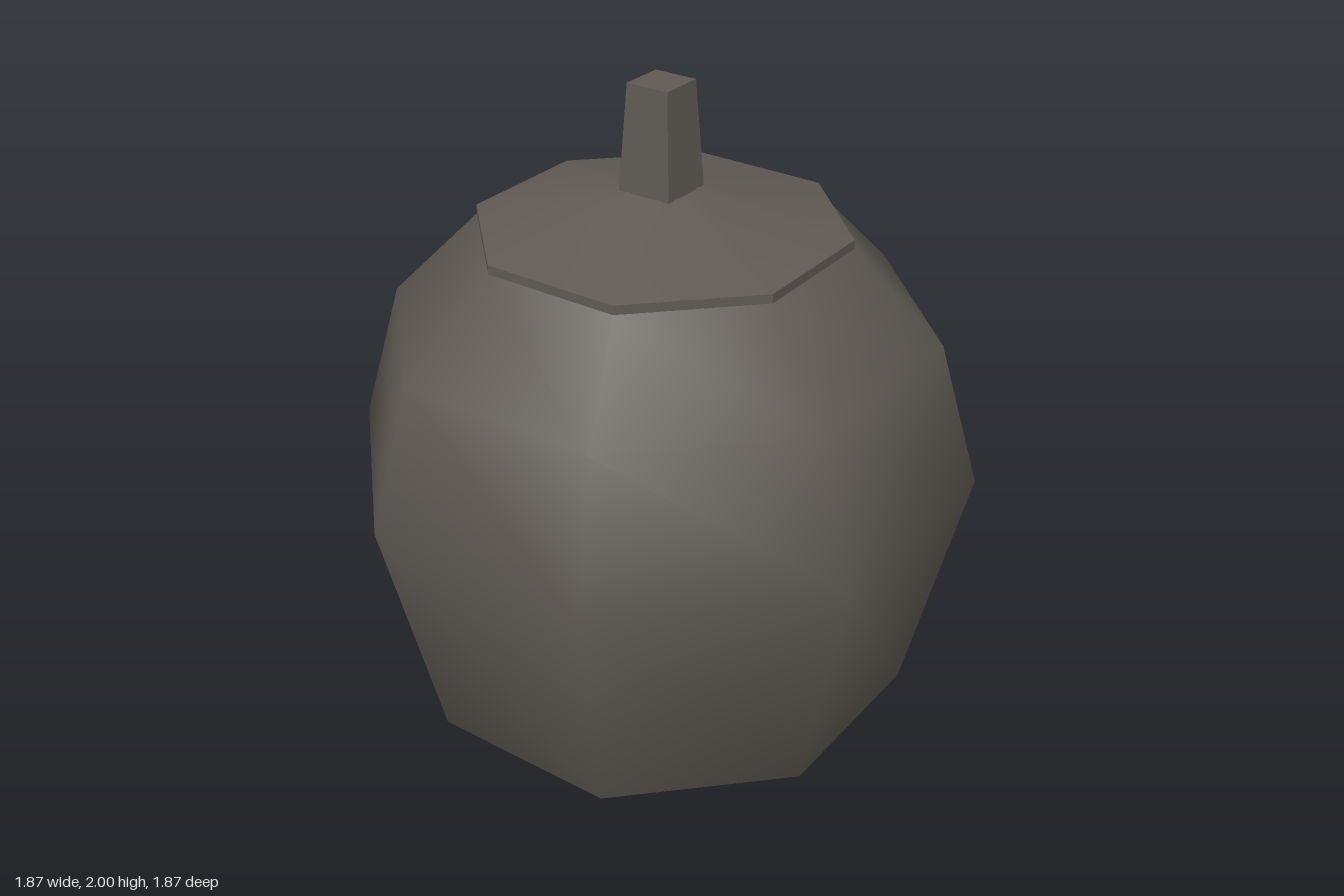
import * as THREE from 'three';

export function createModel() {
  const model = new THREE.Group();
  const stone = new THREE.MeshStandardMaterial({ color: 0x5f5a53 });
  stone.name = 'darkStone';
  const stoneFlat = stone.clone();
  stoneFlat.name = 'darkStoneFaceted';
  stoneFlat.flatShading = true;

  const add = (name, geometry, material, y = 0) => {
    const mesh = new THREE.Mesh(geometry, material);
    mesh.name = name;
    mesh.position.y = y;
    model.add(mesh);
  };

  // Smooth-shaded eight-sided pot, closed at the bottom
  const profile = [[0, 0], [0.515, 0], [0.76, 0.12], [0.937, 0.86], [0.812, 1.29], [0.546, 1.56]]
    .map(([r, y]) => new THREE.Vector2(r, y));
  add('potBody', new THREE.LatheGeometry(profile, 8), stone);

  // Lid: thin faceted rim and shallow smooth cone
  add('lidRim', new THREE.CylinderGeometry(0.547, 0.547, 0.03, 8), stoneFlat, 1.571);
  add('lidTop', new THREE.CylinderGeometry(0.1, 0.547, 0.108, 8, 1, true), stone, 1.64);

  // Tapered square knob, turned an eighth of a right angle off the axes
  add('lidKnob', new THREE.CylinderGeometry(0.095, 0.12, 0.31, 4, 1, false, -Math.PI / 8), stoneFlat, 1.845);

  return model;
}
